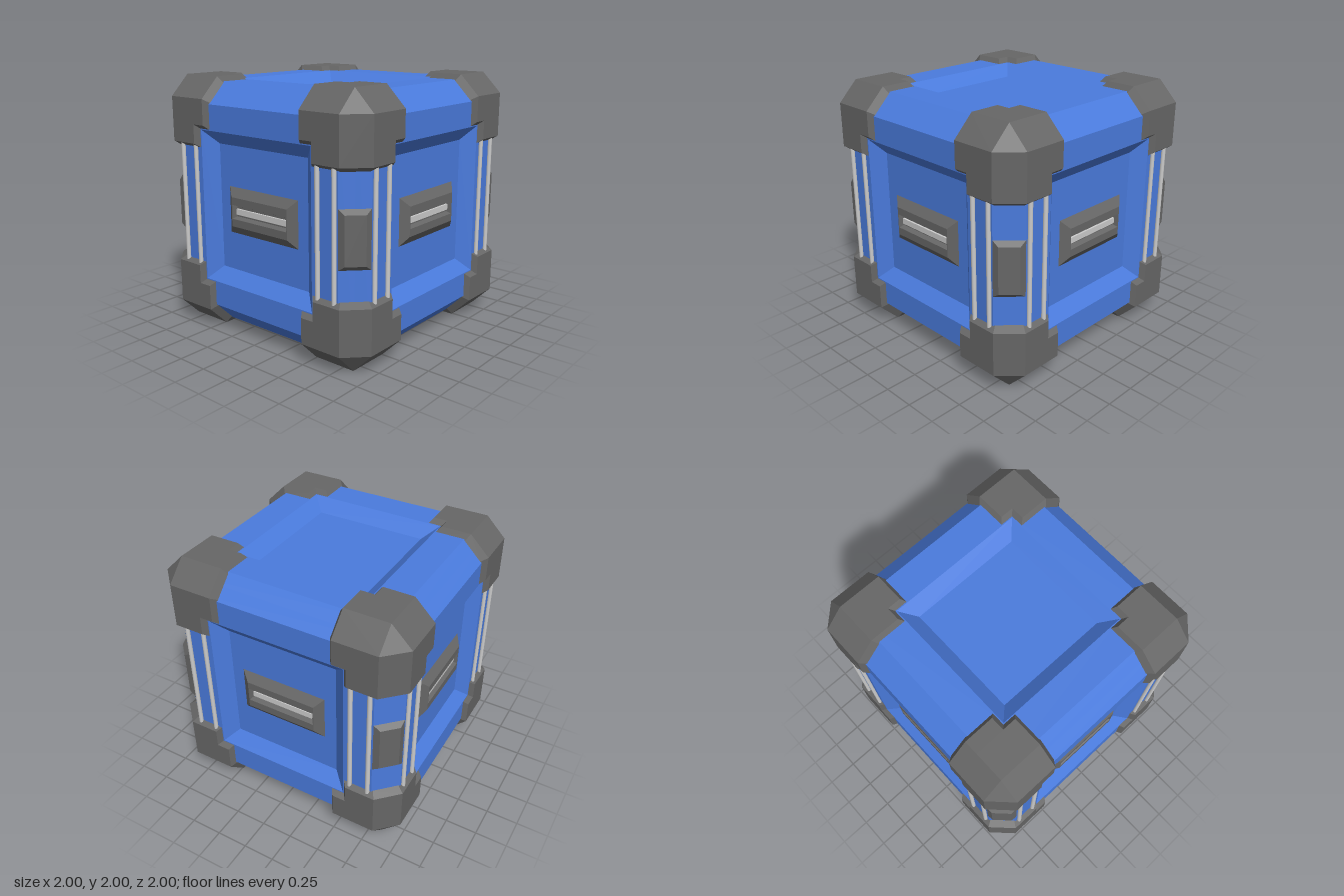
import * as THREE from 'three';

const mat = (color) => new THREE.MeshStandardMaterial({ color, flatShading: true });

// Flat-faced geometry from a list of polygons (triangles or convex quads)
function fromFaces(faces) {
  const pos = [];
  for (const f of faces) {
    for (let i = 1; i < f.length - 1; i++) pos.push(...f[0], ...f[i], ...f[i + 1]);
  }
  const g = new THREE.BufferGeometry();
  g.setAttribute('position', new THREE.Float32BufferAttribute(pos, 3));
  g.computeVertexNormals();
  return g;
}

// Stepped panel facing +z: rectangles [halfWidth, halfHeight, z] from outside in, capped
function steppedPanel(rings) {
  const loops = rings.map(([w, h, z]) => [[-w, -h, z], [w, -h, z], [w, h, z], [-w, h, z]]);
  const faces = [loops[loops.length - 1]];
  for (let r = 0; r < loops.length - 1; r++) {
    for (let i = 0; i < 4; i++) {
      const j = (i + 1) % 4;
      faces.push([loops[r][i], loops[r][j], loops[r + 1][j], loops[r + 1][i]]);
    }
  }
  return fromFaces(faces);
}

// Corner guard for the +x +y +z corner: three L-shaped plates, chamfers and bevelled rims
function cornerGuard() {
  const E = 0.84, S = 0.49, B = 0.455, D = 0.95, K = 0.81;
  const faces = [];
  const sides = [
    { map: (u, v, w) => [u, v, w], nu: 0.6, nv: 0.64 },
    { map: (u, v, w) => [w, u, v], nu: 0.64, nv: 0.6 },
    { map: (u, v, w) => [v, w, u], nu: 0.6, nv: 0.6 },
  ];
  for (const { map, nu, nv } of sides) {
    const add = (...pts) => faces.push(pts.map((p) => map(...p)));
    const o = 0.04;
    // L-shaped plate
    add([S, nv, 1], [E, nv, 1], [E, E, 1], [S, E, 1]);
    add([nu, S, 1], [E, S, 1], [E, nv, 1], [nu, nv, 1]);
    // bevelled inner rim
    const top = [[S, E, 1], [S, nv, 1], [nu, nv, 1], [nu, S, 1], [E, S, 1]];
    const low = [[B, K, D], [B, nv - o, D], [nu - o, nv - o, D], [nu - o, B, D], [K, B, D]];
    for (let i = 0; i < 4; i++) add(low[i], low[i + 1], top[i + 1], top[i]);
    // edge chamfer and its bevelled end
    add([E, S, 1], [1, S, E], [1, E, E], [E, E, 1]);
    add([E, S, 1], [K, B, D], [D, B, K], [1, S, E]);
  }
  faces.push([[E, E, 1], [1, E, E], [E, 1, E]]);
  return fromFaces(faces);
}

export function createModel() {
  const model = new THREE.Group();
  const blue = mat(0x4a7bdd);
  const dark = mat(0x666666);
  const silver = new THREE.MeshStandardMaterial({ color: 0xcccccc });
  const add = (parent, name, geo, material, x = 0, y = 0, z = 0) => {
    const m = new THREE.Mesh(geo, material);
    m.name = name;
    m.position.set(x, y, z);
    parent.add(m);
    return m;
  };

  const crate = new THREE.Group();
  crate.name = 'crate';
  crate.position.y = 1;
  model.add(crate);

  // Each face carries half of its edge chamfers, so six faces close the body
  const facePanel = (openW, openH) => steppedPanel([
    [0.88, 0.88, 0.88], [0.8, 0.8, 0.96], [openW, openH, 0.96],
    [openW - 0.107, openH - 0.107, 0.87],
  ]);
  const sideGeo = facePanel(0.56, 0.6);
  const lidGeo = facePanel(0.56, 0.56);
  const gripGeo = steppedPanel([
    [0.355, 0.183, 0], [0.288, 0.115, 0.05], [0.282, 0.055, 0.05], [0.268, 0.04, 0.012],
  ]);
  const gripBarGeo = new THREE.BoxGeometry(0.52, 0.045, 0.02);
  const railGeo = new THREE.CylinderGeometry(0.018, 0.018, 1.02, 12);
  const plateGeo = steppedPanel([[0.113, 0.215, 0], [0.075, 0.18, 0.035]]);
  const guardGeo = cornerGuard();

  // Lid and base
  add(crate, 'topPanel', lidGeo, blue).rotation.x = -Math.PI / 2;
  add(crate, 'bottomPanel', lidGeo, blue).rotation.x = Math.PI / 2;

  for (let k = 0; k < 4; k++) {
    // One side: recessed panel, slotted grip, four rails and an edge plate
    const side = new THREE.Group();
    side.name = 'side';
    side.rotation.y = k * Math.PI / 2;
    crate.add(side);
    add(side, 'sidePanel', sideGeo, blue);
    add(side, 'grip', gripGeo, dark, 0, -0.01, 0.87);
    add(side, 'gripBar', gripBarGeo, silver, 0, -0.01, 0.888);
    for (const x of [-0.77, -0.62, 0.62, 0.77]) add(side, 'rail', railGeo, silver, x, 0, 0.967);
    add(side, 'edgePlate', plateGeo, dark, 0.88, -0.012, 0.88).rotation.y = Math.PI / 4;

    // Corner guards above and below
    add(crate, 'topCornerGuard', guardGeo, dark).rotation.set(0, k * Math.PI / 2, 0);
    add(crate, 'bottomCornerGuard', guardGeo, dark).rotation.set(Math.PI, k * Math.PI / 2, 0);
  }
  return model;
}
